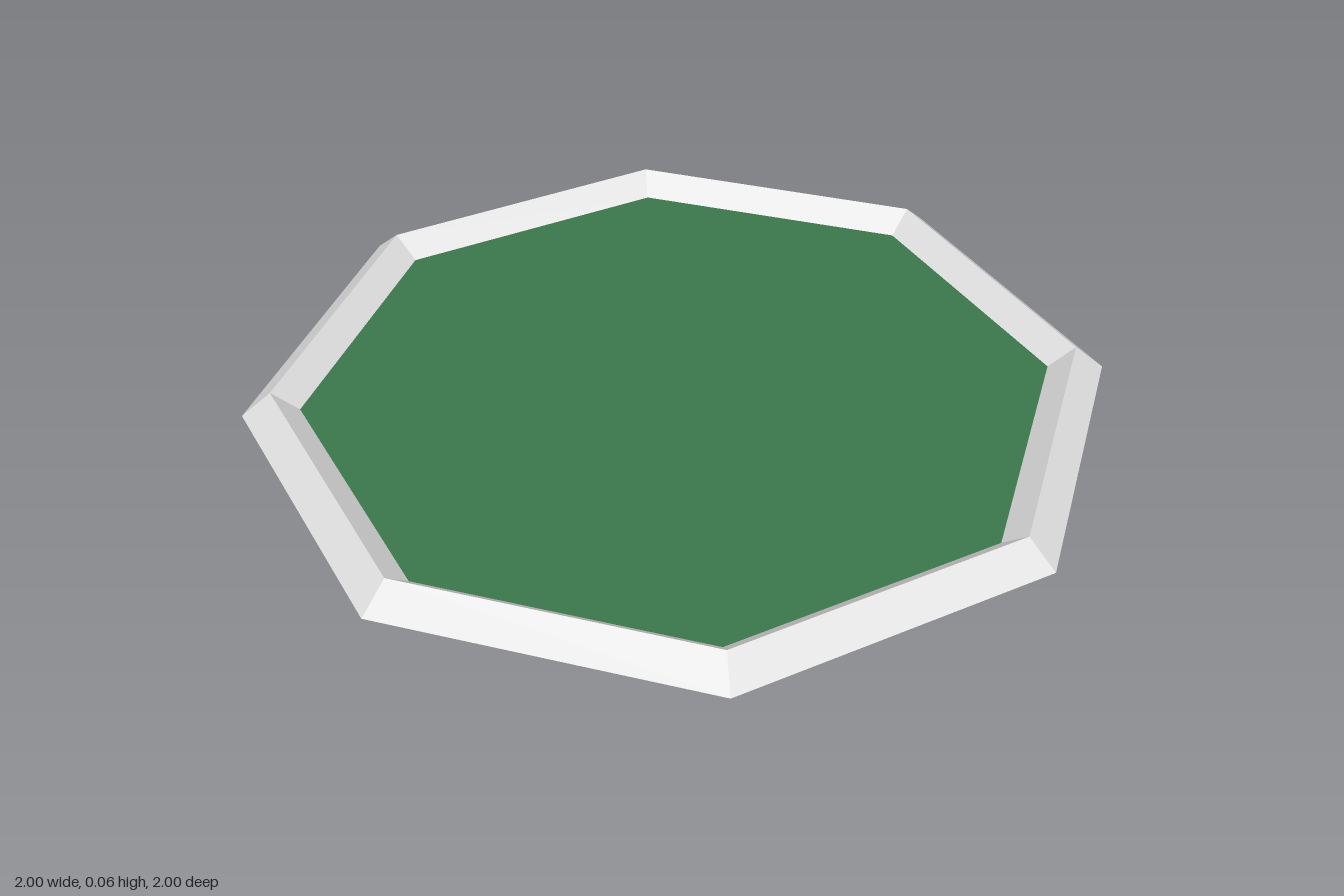
import * as THREE from 'three';

const SIDES = 8;

// Eight-sided ring swept from [apothem, height] points, with flats facing the axes
function octagonRing(profile) {
  const points = profile.map(([apothem, y]) =>
    new THREE.Vector2(apothem / Math.cos(Math.PI / SIDES), y));
  const lathe = new THREE.LatheGeometry(points, SIDES, Math.PI / SIDES);
  const flat = lathe.toNonIndexed();
  flat.computeVertexNormals();
  return flat;
}

export function createModel() {
  const frameGrey = new THREE.MeshStandardMaterial({ color: 0xe2e2e2, side: THREE.DoubleSide, flatShading: true });
  frameGrey.name = 'frameGrey';
  const floorGreen = new THREE.MeshStandardMaterial({ color: 0x3b784c, side: THREE.DoubleSide });
  floorGreen.name = 'floorGreen';

  const model = new THREE.Group();
  model.name = 'octagonalTray';

  // Raised rim: hollow ridge open underneath
  const rim = new THREE.Mesh(octagonRing([[1, 0], [0.93, 0.065], [0.868, 0.01]]), frameGrey);
  rim.name = 'rim';
  model.add(rim);

  // Thin floor sheet meeting the rim's inner edge
  const floorGeometry = new THREE.CircleGeometry(0.868 / Math.cos(Math.PI / SIDES), SIDES, Math.PI / SIDES);
  floorGeometry.rotateX(-Math.PI / 2);
  const floor = new THREE.Mesh(floorGeometry, floorGreen);
  floor.name = 'floor';
  floor.position.y = 0.01;
  model.add(floor);

  return model;
}
